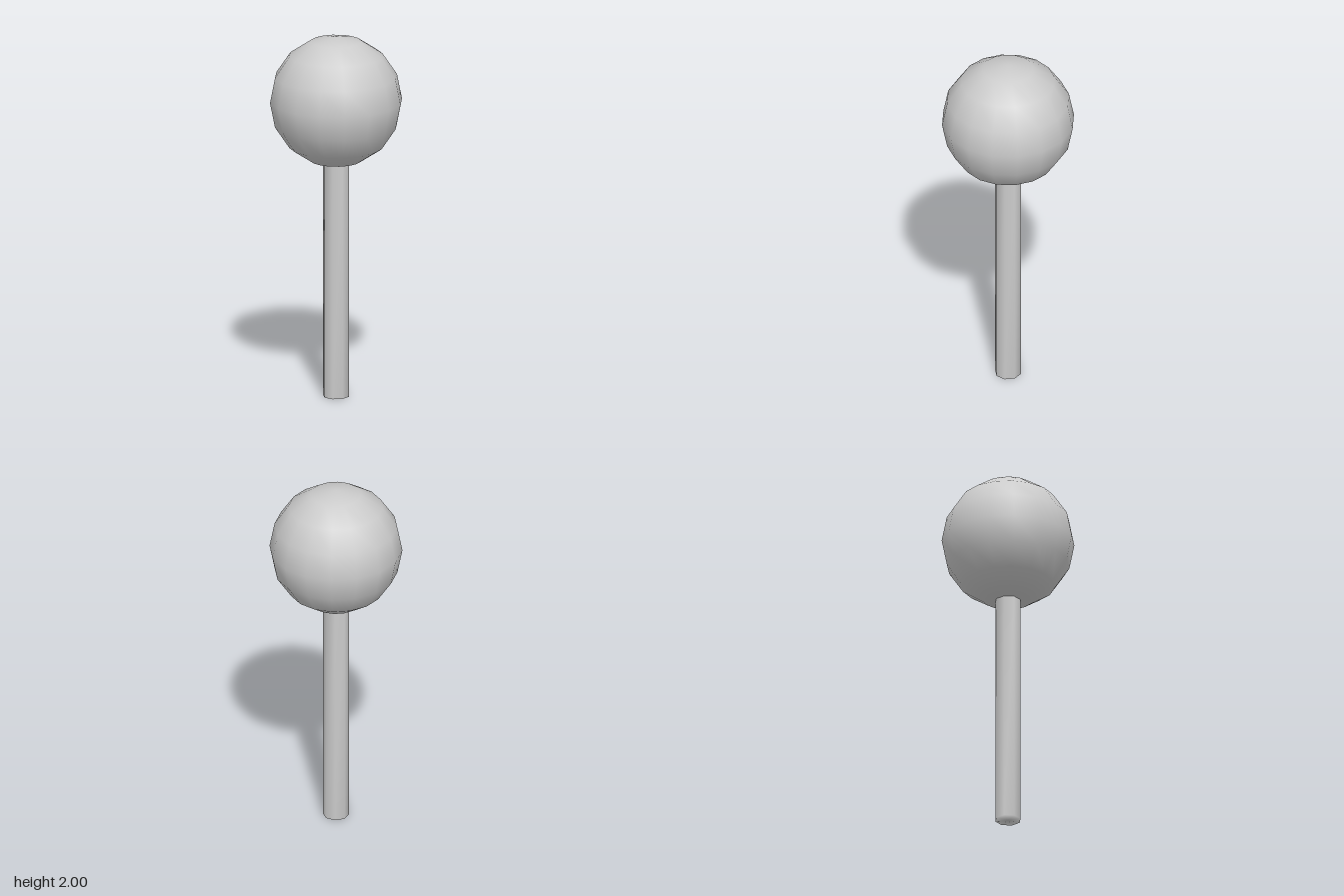
import * as THREE from 'three';
import { mergeVertices } from 'three/addons/utils/BufferGeometryUtils.js';

const BALL_RADIUS = 0.358;
const STEM_RADIUS = 0.071;
const STEM_HEIGHT = 1.32;

// Weld all corners so the shading runs smoothly over the rims
function smoothed(geometry) {
  geometry.deleteAttribute('normal');
  geometry.deleteAttribute('uv');
  const welded = mergeVertices(geometry, 1e-4);
  welded.computeVertexNormals();
  return welded;
}

export function createModel() {
  const group = new THREE.Group();
  group.name = 'ballOnStem';
  const material = new THREE.MeshStandardMaterial({ color: 0xcccccc });

  // Round head, resting on top of the stem
  const head = new THREE.Mesh(new THREE.SphereGeometry(BALL_RADIUS, 16, 8), material);
  head.name = 'head';
  head.position.y = 2 - BALL_RADIUS;
  group.add(head);

  // Eight-sided stem, its top tucked just inside the head
  const stem = new THREE.Mesh(
    smoothed(new THREE.CylinderGeometry(STEM_RADIUS, STEM_RADIUS, STEM_HEIGHT, 8)),
    material
  );
  stem.name = 'stem';
  stem.position.y = STEM_HEIGHT / 2;
  group.add(stem);

  return group;
}
